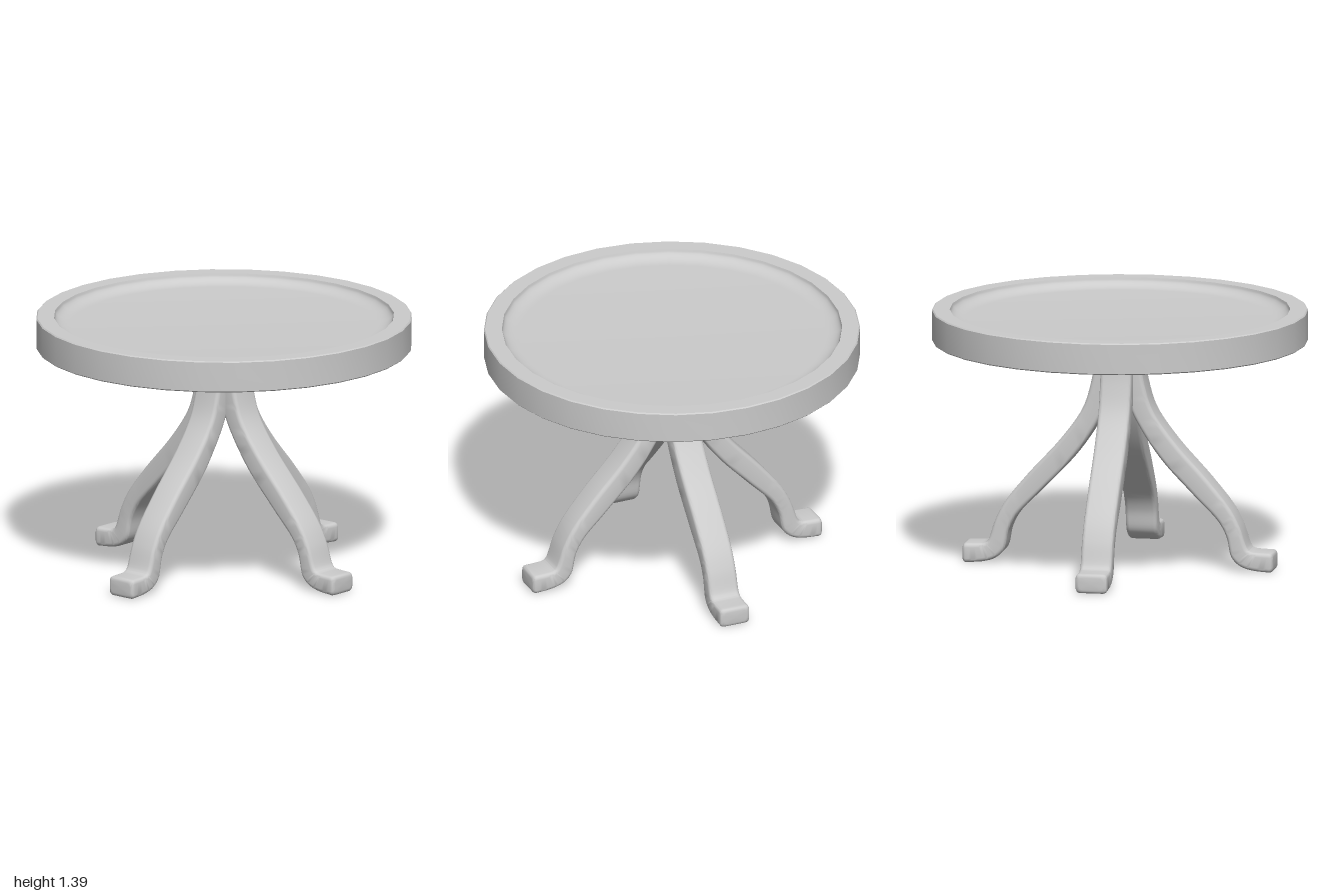
import * as THREE from 'three';
import { toCreasedNormals } from 'three/addons/utils/BufferGeometryUtils.js';

const material = new THREE.MeshStandardMaterial({ color: 0xcccccc });

// Round top: a disc with a raised rim and a filleted recess above and below
function createTop() {
  const bottom = 1.22, top = 1.39, rim = 0.905, depth = 0.05, fillet = 0.09, bevel = 0.006;
  const half = [];
  for (let i = 0; i <= 8; i++) {
    const a = (i / 8) * Math.PI / 2;
    half.push([rim - fillet + fillet * Math.sin(a), depth * Math.cos(a)]);
  }
  half.push([1 - bevel, 0], [1, bevel]);
  const under = half.map(([r, d]) => new THREE.Vector2(r, bottom + d));
  const over = half.map(([r, d]) => new THREE.Vector2(r, top - d)).reverse();
  const profile = [
    new THREE.Vector2(0, bottom + depth), ...under,
    ...over, new THREE.Vector2(0, top - depth),
  ];
  const mesh = new THREE.Mesh(toCreasedNormals(new THREE.LatheGeometry(profile, 32), 0.6), material);
  mesh.name = 'tableTop';
  return mesh;
}

// Matching points on the outer and inner edge of a leg: [outerX, outerY, innerX, innerY]
const LEG = [
  [0.10, 1.29, 0.00, 1.28], [0.125, 1.12, 0.015, 1.10], [0.145, 1.00, 0.035, 0.97],
  [0.19, 0.86, 0.085, 0.83], [0.305, 0.695, 0.225, 0.61], [0.49, 0.49, 0.41, 0.41],
  [0.61, 0.34, 0.545, 0.27], [0.66, 0.246, 0.588, 0.19], [0.705, 0.125, 0.615, 0.08],
  [0.725, 0.113, 0.66, 0.035], [0.755, 0.11, 0.72, 0.014], [0.82, 0.108, 0.82, 0.004],
];

// Rounded rectangle, as offsets [across thickness, across width]
function roundedSection(thick, width, radius) {
  const points = [];
  for (let c = 0; c < 4; c++) {
    const su = c === 0 || c === 3 ? 1 : -1, sw = c < 2 ? 1 : -1;
    for (let k = 0; k <= 4; k++) {
      const a = (c + k / 4) * Math.PI / 2;
      points.push([
        su * (thick / 2 - radius) + radius * Math.cos(a),
        sw * (width / 2 - radius) + radius * Math.sin(a),
      ]);
    }
  }
  return points;
}

// Curved leg ending in a rounded toe, swept through changing sections
function createLegGeometry() {
  const edge = (k) => new THREE.CatmullRomCurve3(
    LEG.map((p) => new THREE.Vector3(p[k], p[k + 1], 0)), false, 'centripetal');
  const outer = edge(0), inner = edge(2);
  const width = 0.17, radius = 0.022, steps = 66;
  const positions = [], indices = [];
  let ringSize = 0, rings = 0;

  const addRing = (o, i, inset) => {
    const mid = o.clone().add(i).multiplyScalar(0.5);
    const u = o.clone().sub(i);
    const thick = u.length();
    u.normalize();
    const section = roundedSection(thick - 2 * inset, width - 2 * inset, radius);
    for (const [a, w] of section) positions.push(mid.x + u.x * a, mid.y + u.y * a, w);
    ringSize = section.length;
    rings++;
  };

  for (let s = 0; s <= steps; s++) addRing(outer.getPoint(s / steps), inner.getPoint(s / steps), 0);
  // Toe rounds off
  const toe = 0.02;
  const o = outer.getPoint(1), i = inner.getPoint(1);
  for (let k = 1; k <= 4; k++) {
    const a = (k / 4) * Math.PI / 2;
    const shift = new THREE.Vector3(toe * Math.sin(a), 0, 0);
    addRing(o.clone().add(shift), i.clone().add(shift), toe * (1 - Math.cos(a)));
  }

  for (let r = 0; r < rings - 1; r++) {
    for (let j = 0; j < ringSize; j++) {
      const n = (j + 1) % ringSize;
      const a = r * ringSize + j, b = r * ringSize + n;
      indices.push(a, b, a + ringSize, b, b + ringSize, a + ringSize);
    }
  }
  // Flat end of the toe
  const last = (rings - 1) * ringSize;
  const centre = positions.length / 3;
  positions.push(o.x + toe, (o.y + i.y) / 2, 0);
  for (let j = 0; j < ringSize; j++) indices.push(centre, last + j, last + (j + 1) % ringSize);

  const geometry = new THREE.BufferGeometry();
  geometry.setAttribute('position', new THREE.Float32BufferAttribute(positions, 3));
  geometry.setIndex(indices);
  return toCreasedNormals(geometry, 0.7);
}

export function createModel() {
  const group = new THREE.Group();
  group.name = 'pedestalTable';
  group.add(createTop());

  // Four legs, one along each axis
  const legGeometry = createLegGeometry();
  ['leftLeg', 'backLeg', 'rightLeg', 'frontLeg'].forEach((name, k) => {
    const leg = new THREE.Mesh(legGeometry, material);
    leg.name = name;
    leg.rotation.y = k * Math.PI / 2;
    group.add(leg);
  });
  return group;
}
